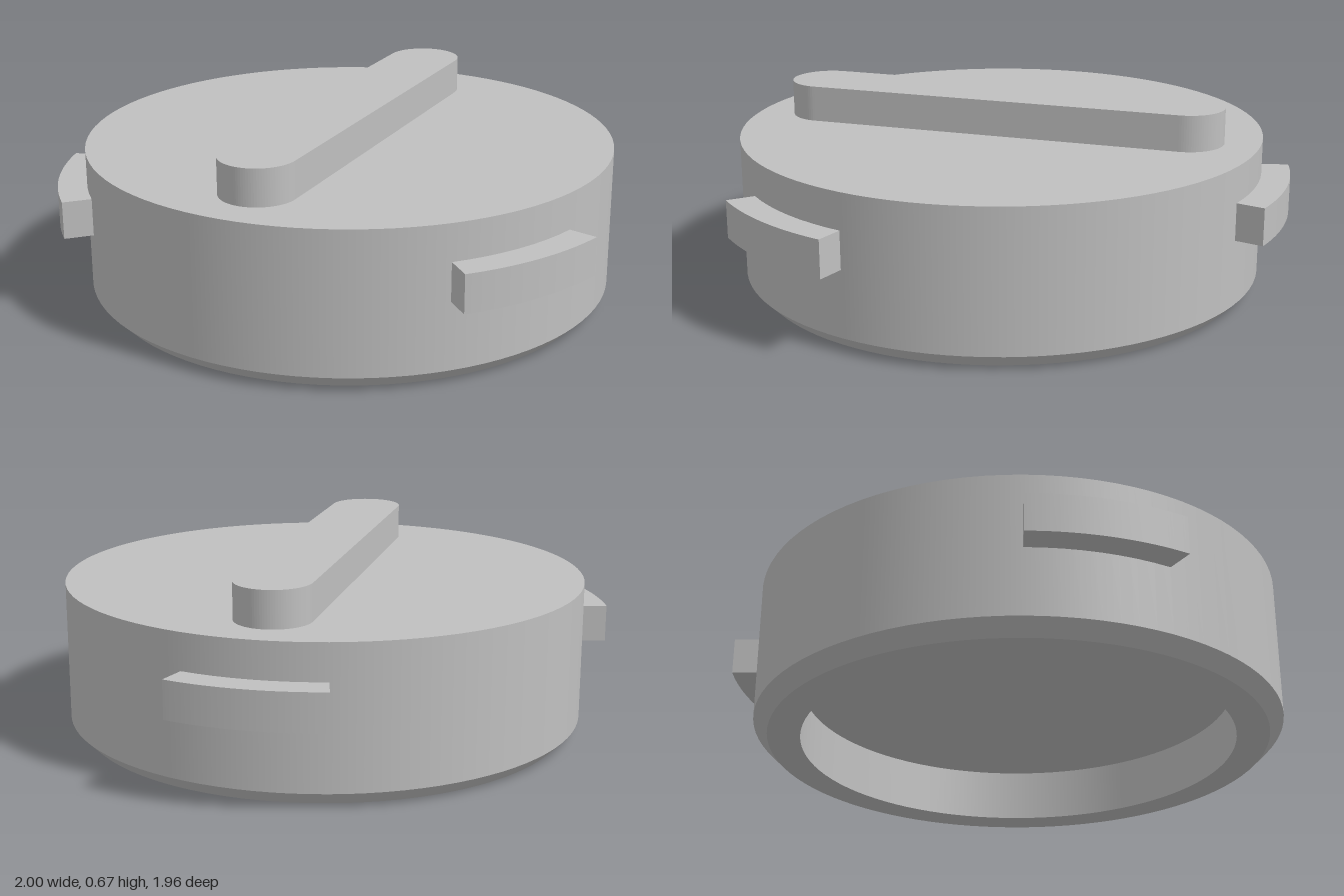
import * as THREE from 'three';

const CZ = 0.047; // axis of the round body
const R = 0.932;

// flat outline in the ground plane, raised from y0 to y1
function slab(shape, y0, y1, material) {
  const geo = new THREE.ExtrudeGeometry(shape, { depth: y1 - y0, bevelEnabled: false, curveSegments: 24 });
  geo.rotateX(-Math.PI / 2);
  geo.translate(0, y0, 0);
  return new THREE.Mesh(geo, material);
}

// surface of revolution with crisp edges: one lathe band per straight segment
function turned(points, material) {
  const group = new THREE.Group();
  for (let i = 0; i < points.length - 1; i++) {
    const pair = [points[i], points[i + 1]].map(([x, y]) => new THREE.Vector2(x, y));
    const band = new THREE.Mesh(new THREE.LatheGeometry(pair, 96), material);
    band.name = 'bodyBand' + i;
    group.add(band);
  }
  return group;
}

export function createModel() {
  const model = new THREE.Group();
  model.name = 'bayonetCap';
  const grey = new THREE.MeshStandardMaterial({ color: 0xc0c0c0 });
  grey.name = 'plain grey';

  // Everything is centred on the body axis
  const cap = new THREE.Group();
  cap.name = 'cap';
  cap.position.z = CZ;
  model.add(cap);

  // Body: recessed underside, rim, chamfer, wall and flat top
  const body = turned([
    [0, 0.19], [0.767, 0.19], [0.767, 0], [0.882, 0],
    [R, 0.05], [R, 0.545], [0, 0.545],
  ], grey);
  body.name = 'body';
  cap.add(body);

  // Grip bar with rounded ends
  const r = 0.132, h = 0.808 - r;
  const bar = new THREE.Shape();
  bar.moveTo(r, -h);
  bar.lineTo(r, h);
  bar.absarc(0, h, r, 0, Math.PI, false);
  bar.lineTo(-r, -h);
  bar.absarc(0, -h, r, Math.PI, Math.PI * 2, false);
  const grip = slab(bar, 0.545, 0.673, grey);
  grip.name = 'gripBar';
  cap.add(grip);

  // Three locking lugs, 30 degrees wide, the first one at the back
  const half = Math.PI / 12;
  for (let i = 0; i < 3; i++) {
    const mid = Math.PI / 2 + i * Math.PI * 2 / 3;
    const arc = new THREE.Shape();
    arc.absarc(0, 0, 1.033, mid - half, mid + half, false);
    arc.absarc(0, 0, R - 0.01, mid + half, mid - half, true);
    const lug = slab(arc, 0.285, 0.417, grey);
    lug.name = 'lockingLug' + i;
    cap.add(lug);
  }
  return model;
}
